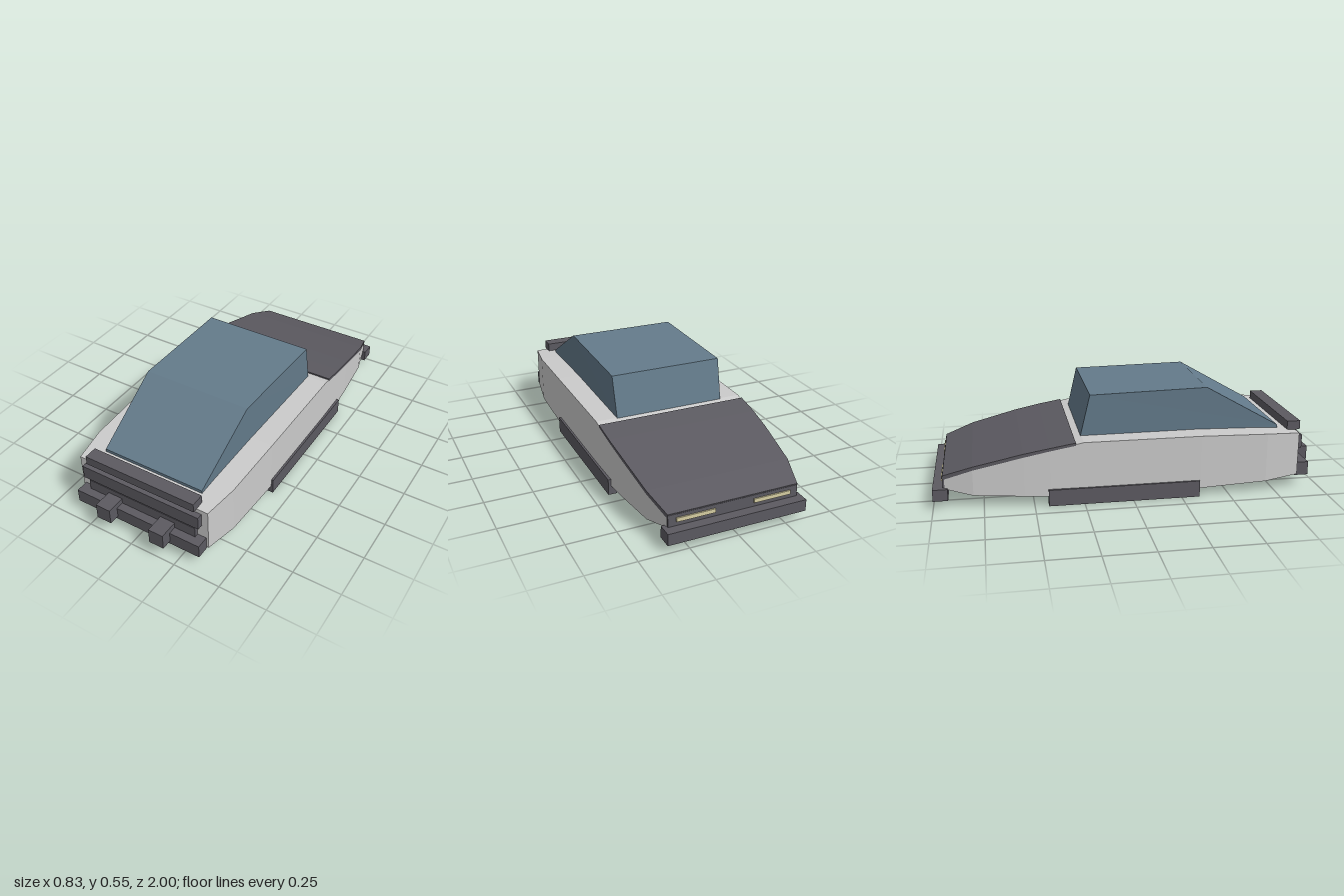
import * as THREE from 'three';

const paint = (color) => new THREE.MeshStandardMaterial({ color, flatShading: true });

// Skin a closed solid over four-cornered rings, capped at both ends
function loft(rings) {
  const pos = rings.flat(2);
  const index = [0, 1, 2, 0, 2, 3];
  for (let r = 0; r < rings.length - 1; r++) {
    for (let i = 0; i < 4; i++) {
      const j = (i + 1) % 4;
      const a = r * 4 + i, b = r * 4 + j, c = b + 4, d = a + 4;
      index.push(a, d, c, a, c, b);
    }
  }
  const e = (rings.length - 1) * 4;
  index.push(e, e + 2, e + 1, e, e + 3, e + 2);
  const geo = new THREE.BufferGeometry();
  geo.setAttribute('position', new THREE.Float32BufferAttribute(pos, 3));
  geo.setIndex(index);
  const flat = geo.toNonIndexed();
  flat.computeVertexNormals();
  return flat;
}

// Upright ring across the car: [z, half width, bottom, top]
const section = ([z, w, b, t]) => [[-w, b, z], [w, b, z], [w, t, z], [-w, t, z]];

// Level ring around the cabin: front and back edges as [z, y, half width]
const level = ([zf, yf, wf], [zb, yb, wb]) =>
  [[-wf, yf, zf], [wf, yf, zf], [wb, yb, zb], [-wb, yb, zb]];

export function createModel() {
  const car = new THREE.Group();
  car.name = 'car';
  const bodyMat = paint(0xcccccc);
  const trimMat = paint(0x5c5a61);
  const glassMat = paint(0x647b8b);
  const lampMat = paint(0xd8d0a4);

  const add = (name, geo, mat) => {
    const mesh = new THREE.Mesh(geo, mat);
    mesh.name = name;
    car.add(mesh);
  };
  // Box given by its limits on each axis
  const box = (name, [x0, x1], [y0, y1], [z0, z1], mat = trimMat) => {
    const geo = new THREE.BoxGeometry(x1 - x0, y1 - y0, z1 - z0);
    geo.translate((x0 + x1) / 2, (y0 + y1) / 2, (z0 + z1) / 2);
    add(name, geo, mat);
  };

  // Wedge-shaped hull, tapering at both ends
  add('body', loft([
    [0.88, 0.37, 0.073, 0.3],
    [0.7, 0.398, 0.055, 0.312],
    [0.35, 0.405, 0.042, 0.322],
    [-0.25, 0.405, 0.042, 0.322],
    [-0.42, 0.402, 0.047, 0.288],
    [-0.55, 0.394, 0.053, 0.26],
    [-0.8, 0.372, 0.065, 0.2],
    [-0.94, 0.337, 0.095, 0.148],
  ].map(section)), bodyMat);

  // Dark panel following the sloping deck
  add('deckPanel', loft([
    [-0.29, 0.405, 0.308, 0.322],
    [-0.42, 0.403, 0.285, 0.3],
    [-0.55, 0.395, 0.257, 0.275],
    [-0.8, 0.373, 0.197, 0.215],
    [-0.948, 0.336, 0.143, 0.165],
  ].map(section)), trimMat);

  // Cabin with sloping screens and a short upright base
  add('cabin', loft([
    level([0.4, 0.545, 0.292], [-0.205, 0.533, 0.298]),
    level([0.79, 0.322, 0.281], [-0.255, 0.322, 0.294]),
    level([0.79, 0.29, 0.281], [-0.255, 0.29, 0.294]),
  ]), glassMat);

  // Front trim
  box('frontSpoiler', [-0.31, 0.31], [0.3, 0.347], [0.835, 0.905]);
  box('frontGrille', [-0.335, 0.335], [0.205, 0.277], [0.86, 0.91]);
  box('frontLowerPanel', [-0.31, 0.31], [0.12, 0.19], [0.86, 0.902]);
  box('frontBumper', [-0.358, 0.358], [0.062, 0.133], [0.872, 0.945]);

  // Rear trim
  box('rearPanel', [-0.335, 0.335], [0.09, 0.16], [-0.95, -0.93]);
  box('rearBumper', [-0.358, 0.358], [0.04, 0.1], [-1, -0.925]);

  // Paired parts
  for (const s of [1, -1]) {
    const side = s > 0 ? 'left' : 'right';
    const span = (a, b) => (s > 0 ? [a, b] : [-b, -a]);
    box(side + 'BumperBlock', span(0.114, 0.195), [0.08, 0.163], [0.9, 1]);
    box(side + 'RearLamp', span(0.1, 0.295), [0.122, 0.142], [-0.957, -0.94], lampMat);
    box(side + 'SideSkirt', span(0.37, 0.416), [0, 0.085], [-0.43, 0.343]);
  }
  return car;
}
